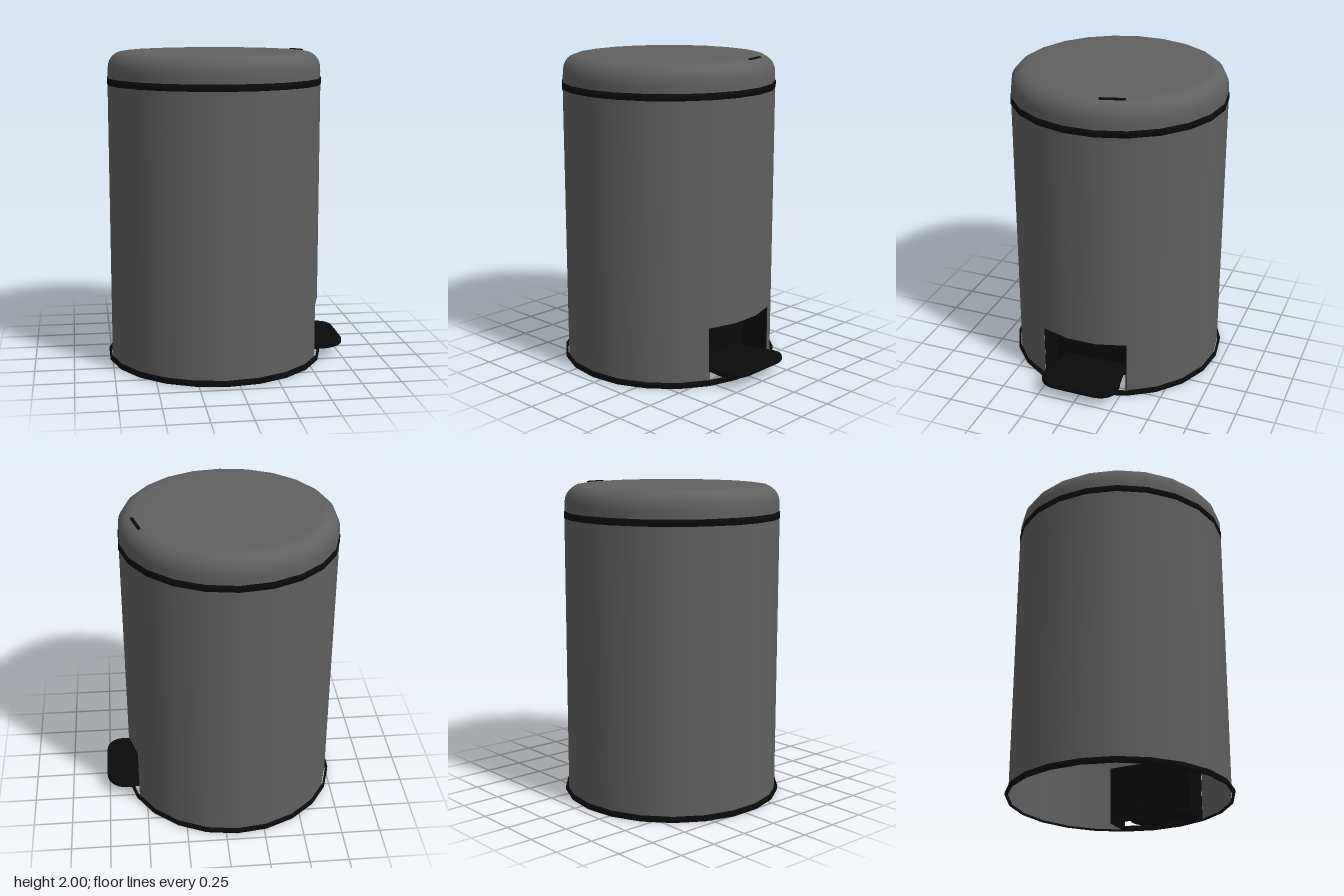
import * as THREE from 'three';

const SIDES = 22;
const STEP = (Math.PI * 2) / SIDES;
const CENTRE_X = -0.07;

export function createModel() {
  const grey = new THREE.MeshStandardMaterial({ color: 0x606060, side: THREE.DoubleSide });
  grey.name = 'grey metal';
  const black = new THREE.MeshStandardMaterial({ color: 0x0b0b0b, side: THREE.DoubleSide });
  black.name = 'black plastic';

  const model = new THREE.Group();
  model.name = 'pedalBin';

  function add(name, geometry, material, x = 0, y = 0, z = 0) {
    const mesh = new THREE.Mesh(geometry, material);
    mesh.name = name;
    mesh.position.set(x, y, z);
    model.add(mesh);
    return mesh;
  }
  const lathe = (pts) =>
    new THREE.LatheGeometry(pts.map(([r, y]) => new THREE.Vector2(r, y)), SIDES);

  // Body: full shell above, and a lower shell with three facets left out for the pedal
  const radius = 0.682, cutTop = 0.375, bodyTop = 1.8;
  add('upperBody',
    new THREE.CylinderGeometry(radius, radius, bodyTop - cutTop, SIDES, 1, true),
    grey, CENTRE_X, (bodyTop + cutTop) / 2);
  add('lowerBody',
    new THREE.CylinderGeometry(radius, radius, cutTop - 0.01, SIDES - 3, 1, true, 7 * STEP, (SIDES - 3) * STEP),
    grey, CENTRE_X, (cutTop + 0.01) / 2);

  // Base ring, open in the middle
  add('baseRing', lathe([
    [0.69, 0], [0.697, 0], [0.703, 0.008], [0.703, 0.03], [0.697, 0.037], [0.69, 0.037], [0.69, 0],
  ]), black, CENTRE_X);

  // Band under the lid
  add('rimBand', lathe([
    [0.66, 1.79], [0.685, 1.79], [0.685, 1.832], [0.66, 1.832], [0.66, 1.79],
  ]), black, CENTRE_X);

  // Lid with a rounded shoulder
  const lidProfile = [[0.68, 1.825], [0.68, 1.87]];
  for (let i = 0; i <= 6; i++) {
    const a = (i / 6) * Math.PI / 2;
    lidProfile.push([0.575 + 0.104 * Math.cos(a), 1.89 + 0.107 * Math.sin(a)]);
  }
  lidProfile.push([0.5, 1.999], [0, 2]);
  add('lid', lathe(lidProfile), grey, CENTRE_X);

  // Small slot mark on the lid
  const slot = add('lidSlot', new THREE.BoxGeometry(0.018, 0.009, 0.155), black, 0.5, 1.9965, -0.17);
  slot.rotation.y = 0.27;

  // Pedal recess: back, ceiling and two cheeks
  const half = radius * Math.sin(1.5 * STEP);
  const edgeX = CENTRE_X + radius * Math.cos(1.5 * STEP);
  const backX = 0.35;
  const midX = (backX + edgeX) / 2;
  const depth = edgeX - backX;
  add('recessBack', new THREE.BoxGeometry(0.008, cutTop, half * 2), black, backX, cutTop / 2);
  for (const s of [-1, 1]) {
    add('recessCheek', new THREE.BoxGeometry(depth, cutTop, 0.006), black, midX, cutTop / 2, s * (half - 0.004));
  }
  // Ceiling follows the facets of the body
  const ceiling = new THREE.Shape();
  ceiling.moveTo(backX, -half);
  for (let i = -1.5; i <= 1.5; i++) {
    ceiling.lineTo(CENTRE_X + radius * Math.cos(i * STEP), radius * Math.sin(i * STEP));
  }
  ceiling.lineTo(backX, half);
  const ceilingGeo = new THREE.ShapeGeometry(ceiling);
  ceilingGeo.rotateX(Math.PI / 2);
  add('recessCeiling', ceilingGeo, black, 0, cutTop - 0.001);

  // Pedal: rounded plate tilted slightly upward
  const w = 0.25, tip = 0.755, r = 0.12;
  const plate = new THREE.Shape();
  plate.moveTo(backX, -0.2);
  plate.lineTo(0.56, -0.235);
  plate.quadraticCurveTo(0.6, -w, tip - r, -w);
  plate.bezierCurveTo(tip - 0.04, -w, tip, -w + 0.06, tip, -w + r);
  plate.lineTo(tip, w - r);
  plate.bezierCurveTo(tip, w - 0.06, tip - 0.04, w, tip - r, w);
  plate.quadraticCurveTo(0.6, w, 0.56, 0.235);
  plate.lineTo(backX, 0.2);
  plate.closePath();
  const pedalGeo = new THREE.ExtrudeGeometry(plate, {
    depth: 0.016, bevelEnabled: true, bevelThickness: 0.01, bevelSize: 0.008, bevelSegments: 2, curveSegments: 8,
  });
  pedalGeo.rotateX(Math.PI / 2);
  pedalGeo.translate(-tip, 0.008, 0);
  const pedal = add('pedal', pedalGeo, black, tip, 0.096, 0);
  pedal.rotation.z = 0.075;

  return model;
}
